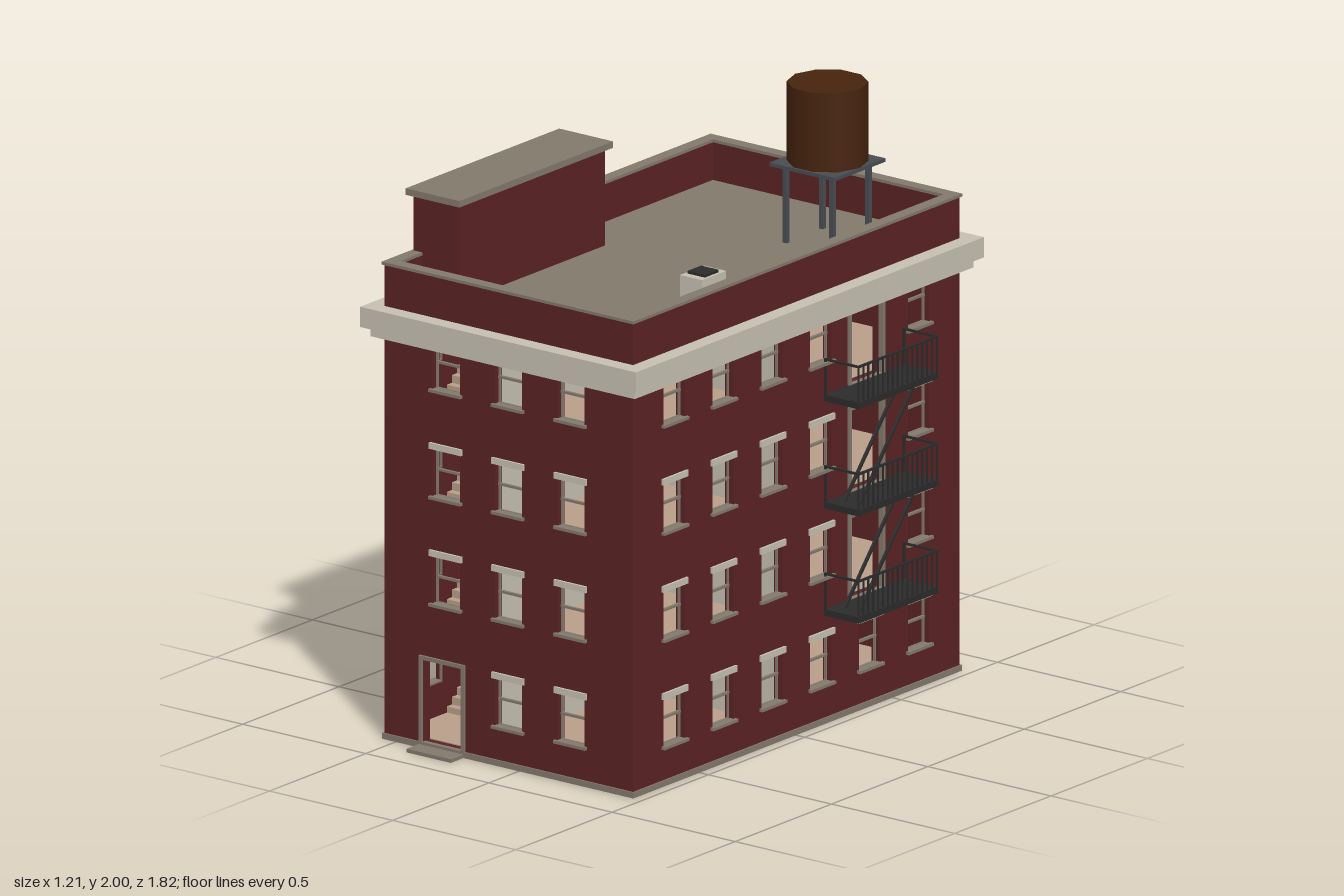
import * as THREE from 'three';
import { mergeGeometries } from 'three/addons/utils/BufferGeometryUtils.js';

const mat = (name, color) => {
  const m = new THREE.MeshStandardMaterial({ color });
  m.name = name;
  return m;
};

// building limits and spacing
const X0 = -0.55, X1 = 0.46, Z0 = -0.855, Z1 = 0.84, T = 0.035;
const CX = (X0 + X1) / 2, CZ = (Z0 + Z1) / 2;
const STOREY = 0.36, BAY = 0.2535, WIN = 0.11, TOP = 1.595;
const bayX = i => CX + (i - 1) * BAY;
const bayZ = i => CZ + (2.5 - i) * BAY;

const box = (x0, x1, y0, y1, z0, z1) =>
  new THREE.BoxGeometry(x1 - x0, y1 - y0, z1 - z0)
    .translate((x0 + x1) / 2, (y0 + y1) / 2, (z0 + z1) / 2);

// flat panel with rectangular holes [u0, u1, v0, v1]
function panel(u0, u1, v0, v1, holes, depth) {
  const rect = (P, a, b, c, d) => {
    const p = new P();
    p.moveTo(a, c); p.lineTo(b, c); p.lineTo(b, d); p.lineTo(a, d); p.closePath();
    return p;
  };
  const s = rect(THREE.Shape, u0, u1, v0, v1);
  holes.forEach(h => s.holes.push(rect(THREE.Path, ...h)));
  return new THREE.ExtrudeGeometry(s, { depth, bevelEnabled: false });
}

// horizontal panel in x and z, with its underside at y
const slab = (x0, x1, z0, z1, y, h, holes = []) =>
  panel(x0, x1, -z1, -z0, holes.map(([a, b, c, d]) => [a, b, -d, -c]), h)
    .rotateX(-Math.PI / 2).translate(0, y, 0);

// frame running around the building, out beyond the wall and in from it
const band = (out, inset, y, h) =>
  slab(X0 - out, X1 + out, Z0 - out, Z1 + out, y, h,
    [[X0 + inset, X1 - inset, Z0 + inset, Z1 - inset]]);

// round or square bar between two points
function bar(a, b, size) {
  const p = new THREE.Vector3(...a), q = new THREE.Vector3(...b);
  const d = q.clone().sub(p);
  const g = new THREE.BoxGeometry(size, size, d.length());
  const m = new THREE.Matrix4().lookAt(q, p, new THREE.Vector3(0, 1, 0));
  return g.applyMatrix4(m).translate(...p.add(q).multiplyScalar(0.5).toArray());
}

export function createModel() {
  const model = new THREE.Group();
  model.name = 'apartmentBuilding';
  const brick = mat('brick', 0x5a2223), stone = mat('pale stone', 0xc6c0b2);
  const taupe = mat('taupe', 0x83796d), wood = mat('tank wood', 0x47240e);
  const iron = mat('black iron', 0x2b2b2c), steel = mat('steel', 0x484d52);
  const tan = mat('floor tan', 0xb89f89);

  const parts = new Map();
  const add = (name, material, ...geos) => {
    if (!parts.has(name)) parts.set(name, { material, geos: [] });
    parts.get(name).geos.push(...geos.map(g => g.index ? g.toNonIndexed() : g));
  };

  // one outer wall: u runs along it, z = 0 is its outer face
  function wall(name, u0, u1, openings, place) {
    add(name, brick, place(panel(u0, u1, 0.01, TOP,
      openings.map(o => [o.u - o.w / 2, o.u + o.w / 2, o.y0, o.y1]), T).translate(0, 0, -T)));
    for (const { u, w, y0, y1, door } of openings) {
      const a = u - w / 2, b = u + w / 2;
      if (door) {
        add('doorSurrounds', door, place(panel(a - 0.013, b + 0.013, y0, y1 + 0.013,
          [[a, b, y0 + 0.001, y1]], 0.018).translate(0, 0, -0.01)));
        continue;
      }
      const mid = (y0 + y1) / 2, f = 0.005;
      add('windowFrames', taupe,
        place(panel(a, b, y0, y1, [[a + f, b - f, y0 + f, y1 - f]], 0.008).translate(0, 0, -0.026)),
        place(box(a, b, mid - 0.004, mid + 0.004, -0.026, -0.016)));
      add('windowLintels', stone, place(box(a - 0.01, b + 0.01, y1 - 0.018, y1 + 0.003, -0.012, 0.008)));
      add('windowSills', taupe, place(box(a - 0.01, b + 0.01, y0 - 0.006, y0 + 0.004, -0.02, 0.012)));
    }
  }
  const win = (u, k) => ({ u, w: WIN, y0: 0.13 + STOREY * k, y1: 0.31 + STOREY * k });
  const floors = [0, 1, 2, 3];

  // end walls have three bays, with a street door below the first
  for (const [name, s, z] of [['frontWall', 1, Z1], ['backWall', -1, Z0]]) {
    const list = [];
    for (const k of floors) for (let i = 0; i < 3; i++)
      list.push(k || i ? win(s * bayX(i), k)
        : { u: s * -0.313, w: 0.158, y0: 0.021, y1: 0.298, door: taupe });
    const e = [s * (X0 + T), s * (X1 - T)].sort((a, b) => a - b);
    wall(name, ...e, list, g => g.rotateY(s > 0 ? 0 : Math.PI).translate(0, 0, z));
  }

  // long walls have six bays; the right one has doors onto the fire escape
  for (const [name, s, x] of [['rightWall', 1, X1], ['leftWall', -1, X0]]) {
    const list = [];
    for (const k of floors) for (let i = 0; i < 6; i++)
      list.push(s > 0 && k && i === 4
        ? { u: 0.367, w: 0.16, y0: 0.025 + STOREY * k, y1: 0.298 + STOREY * k, door: stone }
        : win(-s * bayZ(i), k));
    const e = [-s * Z0, -s * Z1].sort((a, b) => a - b);
    wall(name, ...e, list, g => g.rotateY(s * Math.PI / 2).translate(x, 0, 0));
  }

  // base and front step
  add('base', taupe, box(X0 - 0.005, X1 + 0.005, 0, 0.02, Z0 - 0.005, Z1 + 0.005));
  add('frontStep', taupe, box(-0.405, -0.225, 0, 0.012, Z1, 0.91));

  // inner floors and ceilings, cut away for the stairs
  const well = [[X0 + T + 0.002, -0.4, 0.2, 0.56]];
  const ix = [X0 + T, X1 - T, Z0 + T, Z1 - T];
  add('floors', tan, slab(...ix, 0.018, 0.006));
  for (const k of [1, 2, 3]) {
    add('floors', tan, slab(...ix, STOREY * k, 0.02, well));
    add('ceilings', stone, slab(...ix, STOREY * k - 0.006, 0.006, well));
  }
  add('ceilings', stone, slab(...ix, 1.434, 0.006, well));

  // hall partition with openings, and cross wall
  const holes = floors.flatMap(k => [1, 4].map(i =>
    [-bayZ(i) - 0.06, -bayZ(i) + 0.06, 0.125 + STOREY * k, 0.315 + STOREY * k]));
  add('innerWalls', stone,
    panel(-Z1 + T, -Z0 - T, 0.02, 1.44, holes, 0.02).rotateY(Math.PI / 2).translate(-0.21, 0, 0),
    box(-0.19, X1 - T, 0.02, 1.44, -0.02, 0));

  // stair flights along the left wall
  const N = 14, rise = STOREY / N;
  for (const k of floors) for (let i = 0; i < N; i++) {
    const y = 0.02 + STOREY * k + rise * (i + 1), z = 0.56 - rise * i;
    add('stairs', tan, box(X0 + T, -0.4, y - 0.034, y - 0.001, z - rise - 0.01, z));
  }

  // cornice, roof and parapet cap
  add('cornice', stone, band(0.055, 0.001, 1.385, 0.068), band(0.032, 0.001, 1.353, 0.032));
  add('roof', taupe, slab(...ix, 1.44, 0.025));
  add('parapetCap', taupe, band(0.006, T + 0.002, 1.592, 0.01));

  // stair bulkhead
  add('bulkhead', brick, box(X0 + 0.001, -0.362, 1.455, 1.792, -0.066, 0.69));
  add('bulkheadCap', taupe, box(-0.565, -0.347, 1.79, 1.812, -0.087, 0.71));
  add('bulkheadDoor', stone, box(-0.498, -0.388, 1.465, 1.7, -0.071, -0.06));
  add('bulkheadDoorFrame', taupe,
    panel(-0.51, -0.376, 1.465, 1.712, [[-0.498, -0.388, 1.466, 1.7]], 0.014).translate(0, 0, -0.077));

  // roof vent
  add('ventBox', stone, box(0.22, 0.31, 1.465, 1.57, 0.165, 0.29));
  add('ventGrille', iron, box(0.23, 0.3, 1.57, 1.579, 0.192, 0.263));

  // water tank on its stand
  const tx = 0.168, tz = -0.542;
  add('waterTank', wood, new THREE.CylinderGeometry(0.131, 0.131, 0.265, 10).toNonIndexed()
    .rotateY(Math.PI / 2).translate(tx, 1.8675, tz));
  add('tankStand', steel, box(tx - 0.132, tx + 0.132, 1.723, 1.735, tz - 0.132, tz + 0.132));
  for (const sx of [-1, 1]) for (const sz of [-1, 1]) {
    const x = tx + sx * 0.094, z = tz + sz * 0.094;
    add('tankStand', steel, box(x - 0.008, x + 0.008, 1.46, 1.725, z - 0.008, z + 0.008));
  }

  // fire escape balconies and the ladders between them
  const fz0 = -0.565, fz1 = -0.152, fx = 0.597;
  for (const k of [1, 2, 3]) {
    const y = STOREY * k, rail = y + 0.143;
    add('fireEscapePlatforms', iron, box(X1, 0.6, y + 0.002, y + 0.024, fz0, fz1));
    add('fireEscapeRailings', iron, bar([fx, rail, fz0], [fx, rail, fz1], 0.007));
    for (const z of [fz0 + 0.003, fz1 - 0.003]) {
      add('fireEscapeRailings', iron, bar([X1, rail, z], [fx, rail, z], 0.007),
        box(X1, X1 + 0.006, y + 0.02, rail, z - 0.003, z + 0.003));
    }
    for (let i = 0; i <= 16; i++) {
      const z = fz0 + 0.003 + (fz1 - fz0 - 0.006) * i / 16;
      add('fireEscapeRailings', iron, box(fx - 0.0025, fx + 0.0025, y + 0.02, rail, z - 0.0025, z + 0.0025));
    }
    if (k < 3) for (const x of [0.506, 0.566])
      add('fireEscapeLadders', iron, bar([x, y + 0.02, -0.195], [x, y + STOREY + 0.01, -0.495], 0.009));
  }

  for (const [name, { material, geos }] of parts) {
    const mesh = new THREE.Mesh(mergeGeometries(geos), material);
    mesh.name = name;
    model.add(mesh);
  }
  return model;
}
